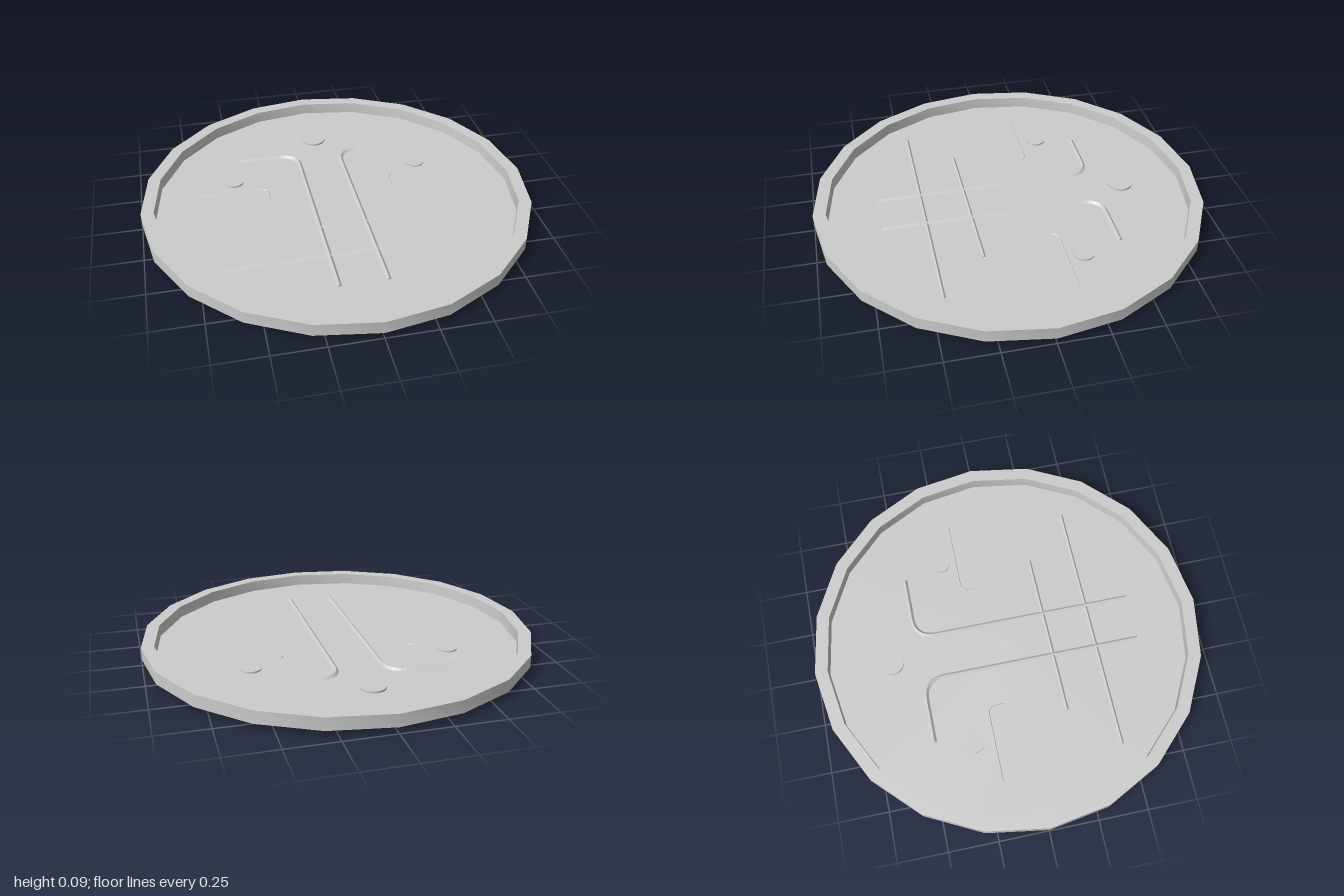
import * as THREE from 'three';
import { toCreasedNormals } from 'three/addons/utils/BufferGeometryUtils.js';

const FLOOR = 0.035;

export function createModel() {
  const group = new THREE.Group();
  const material = new THREE.MeshStandardMaterial({ color: 0xcccccc });

  function add(name, geometry) {
    const mesh = new THREE.Mesh(geometry, material);
    mesh.name = name;
    group.add(mesh);
    return mesh;
  }

  // Diamond-section rod swept along a path, with closed ends
  function rod(name, path, r, steps) {
    const section = new THREE.Shape([
      new THREE.Vector2(r, 0), new THREE.Vector2(0, r),
      new THREE.Vector2(-r, 0), new THREE.Vector2(0, -r),
    ]);
    add(name, new THREE.ExtrudeGeometry(section, { steps, extrudePath: path }));
  }

  // Path along x that turns through a rounded corner and runs along z
  function bentPath(xStart, xEnd, zStart, zEnd, bend, y) {
    const s = Math.sign(xStart);
    const a = new THREE.Vector3(xStart, y, zStart);
    const b = new THREE.Vector3(xEnd + s * bend, y, zStart);
    const corner = new THREE.Vector3(xEnd, y, zStart);
    const c = new THREE.Vector3(xEnd, y, zStart + bend);
    const d = new THREE.Vector3(xEnd, y, zEnd);
    const path = new THREE.CurvePath();
    path.add(new THREE.LineCurve3(a, b));
    path.add(new THREE.QuadraticBezierCurve3(b, corner, c));
    path.add(new THREE.LineCurve3(c, d));
    return path;
  }

  // Shallow round tray with a raised rim
  const profile = [[0, 0.031], [1, 0.031], [1, 0.094], [0.935, 0.094], [0.932, FLOOR], [0, FLOOR]]
    .map(([r, y]) => new THREE.Vector2(r, y));
  add('tray', toCreasedNormals(new THREE.LatheGeometry(profile, 20), 0.4));

  // Long bent rods running from the back to the front
  rod('bentRodRight', bentPath(-0.46, -0.128, -0.468, 0.67, 0.11, 0.026), 0.021, 64);
  rod('bentRodLeft', bentPath(0.44, 0.107, -0.468, 0.67, 0.11, 0.026), 0.021, 64);

  // Straight crossbars
  const bars = [
    ['longCrossbar', -0.66, 0.451, 0.655, 0.441],
    ['shortCrossbar', -0.43, 0.221, 0.42, 0.21],
  ];
  for (const [name, x0, z0, x1, z1] of bars) {
    const line = new THREE.LineCurve3(new THREE.Vector3(x0, 0.022, z0), new THREE.Vector3(x1, 0.022, z1));
    rod(name, line, 0.022, 1);
  }

  // Thin hooked rods at the sides
  rod('thinRodRight', bentPath(-0.725, -0.335, -0.172, -0.085, 0.045, 0.03), 0.008, 40);
  rod('thinRodLeft', bentPath(0.705, 0.322, -0.182, -0.092, 0.045, 0.03), 0.008, 40);

  // Low round buttons on the floor
  const buttons = [
    ['backButton', -0.005, -0.612, 0.063, 0.01],
    ['sideButtonRight', -0.505, -0.27, 0.05, 0.008],
    ['sideButtonLeft', 0.5, -0.265, 0.05, 0.008],
  ];
  for (const [name, x, z, r, h] of buttons) {
    add(name, new THREE.CylinderGeometry(r, r, h, 24)).position.set(x, FLOOR + h / 2, z);
  }

  return group;
}
